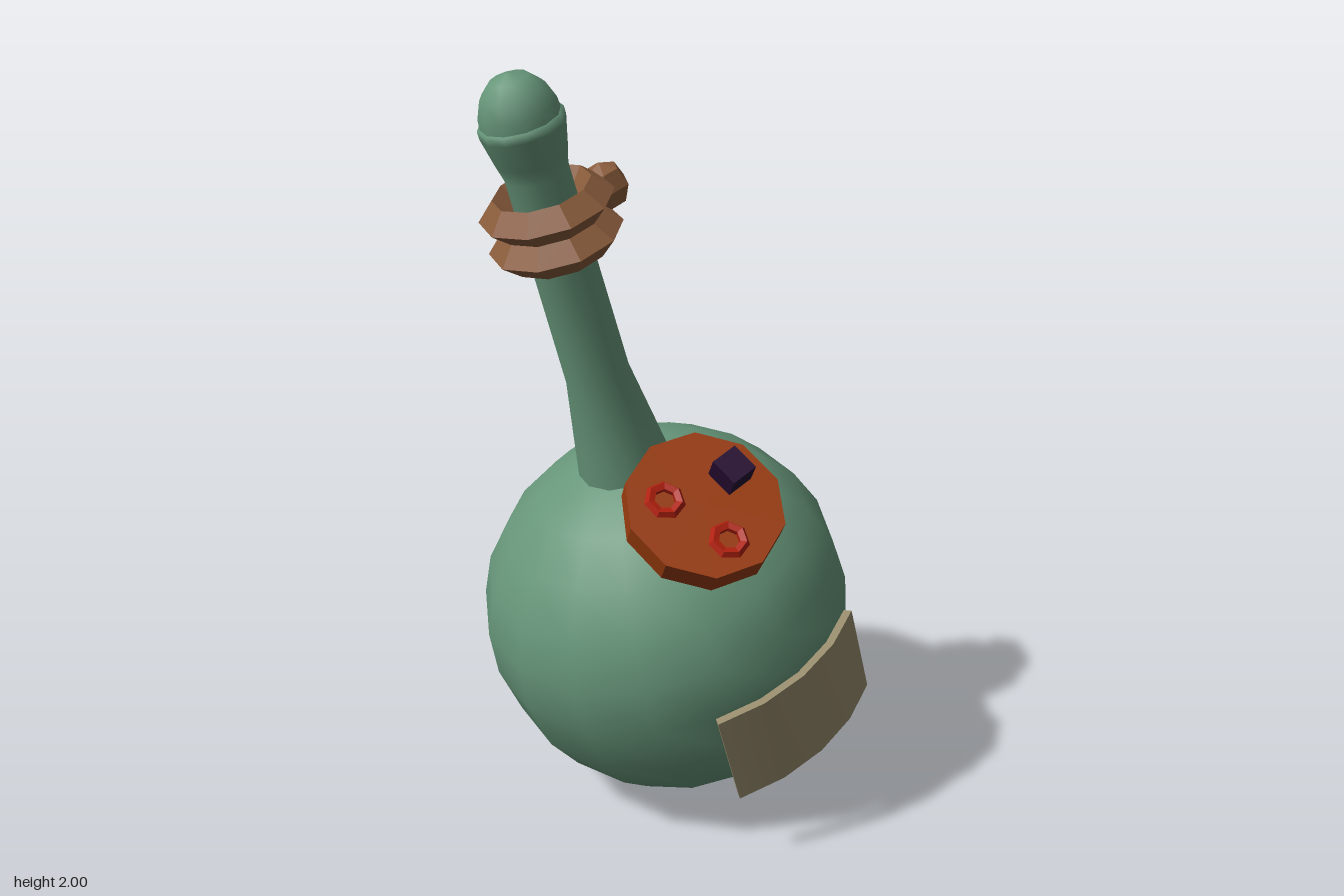
import * as THREE from 'three';
import { toCreasedNormals } from 'three/addons/utils/BufferGeometryUtils.js';

const material = (name, color, flatShading = false) => {
  const m = new THREE.MeshStandardMaterial({ color, flatShading });
  m.name = name;
  return m;
};

export function createModel() {
  const glass = material('green glass', 0x67967a);
  const rope = material('brown rope', 0x8a5c3c, true);
  const paper = material('faded paper', 0x978b6c);
  const wax = material('orange wax', 0x983b0e, true);
  const red = material('red wax', 0xb0200f, true);
  const dark = material('dark purple', 0x260d33, true);

  // Everything leans with the bottle; local origin is the centre of its base
  const bottle = new THREE.Group();
  bottle.name = 'bottle';
  bottle.position.set(0.154, 0.072, -0.02);
  bottle.rotation.z = 0.3;

  const add = (parent, name, geometry, mat, x = 0, y = 0, z = 0) => {
    const mesh = new THREE.Mesh(geometry, mat);
    mesh.name = name;
    mesh.position.set(x, y, z);
    parent.add(mesh);
    return mesh;
  };
  const lathe = (profile, sides) =>
    new THREE.LatheGeometry(profile.map(([r, y]) => new THREE.Vector2(r, y)), sides);

  // Round body with a flat, slightly dented base
  add(bottle, 'body', lathe([
    [0, 0.03], [0.13, 0.015], [0.235, 0], [0.33, 0.09], [0.415, 0.2], [0.468, 0.32],
    [0.49, 0.47], [0.478, 0.6], [0.43, 0.715], [0.35, 0.816], [0.245, 0.9], [0.127, 0.955], [0, 0.975],
  ], 16), glass);

  // Neck, flaring at the foot and under the lip
  add(bottle, 'neck', lathe([
    [0.125, 0.92], [0.108, 1.04], [0.08, 1.23], [0.077, 1.5], [0.075, 1.78], [0.085, 1.82], [0.1, 1.89], [0.1, 1.91], [0.085, 1.912],
  ], 12), glass);

  // Domed stopper
  add(bottle, 'stopper', lathe([
    [0.094, 1.9], [0.091, 1.935], [0.075, 1.975], [0.045, 2.005], [0, 2.018],
  ], 12), glass);

  // Two rope loops and their knot
  [1.612, 1.695].forEach((y) => {
    const loop = add(bottle, 'ropeLoop', new THREE.TorusGeometry(0.117, 0.044, 4, 10), rope, 0, y, 0);
    loop.rotation.x = Math.PI / 2;
  });
  add(bottle, 'ropeKnot', new THREE.SphereGeometry(0.06, 6, 4), rope, 0.168, 1.66, 0);

  // Curved label, extruded upright from an arc-shaped strip
  const half = 0.48, steps = 4, outline = [];
  const arcPoint = (r, a) => new THREE.Vector2(r * Math.sin(a), -r * Math.cos(a));
  for (let i = 0; i <= steps; i++) outline.push(arcPoint(0.527, -half + (2 * half * i) / steps));
  for (let i = steps; i >= 0; i--) outline.push(arcPoint(0.506, -half + (2 * half * i) / steps));
  const strip = new THREE.ExtrudeGeometry(new THREE.Shape(outline), { depth: 0.27, bevelEnabled: false });
  strip.rotateX(-Math.PI / 2);
  add(bottle, 'label', toCreasedNormals(strip, 0.6), paper, 0, 0.22, 0);

  // Wax seal on the shoulder, its own y axis pointing out of the body
  const seal = new THREE.Group();
  seal.name = 'seal';
  const lean = 0.57;
  seal.position.set(0, 0.47 + 0.535 * Math.cos(lean), 0.535 * Math.sin(lean));
  seal.rotation.x = lean;
  bottle.add(seal);
  add(seal, 'sealDisc', new THREE.CylinderGeometry(0.2, 0.2, 0.066, 10), wax);
  [[-0.076, -0.066], [-0.026, 0.108]].forEach(([x, z]) => {
    const ring = add(seal, 'sealRing', new THREE.TorusGeometry(0.038, 0.014, 5, 7), red, x, 0.038, z);
    ring.rotation.x = -Math.PI / 2;
  });
  add(seal, 'sealStud', new THREE.BoxGeometry(0.075, 0.075, 0.075), dark, 0.1, 0.055, -0.018);

  const model = new THREE.Group();
  model.name = 'sealedBottle';
  model.add(bottle);
  return model;
}
